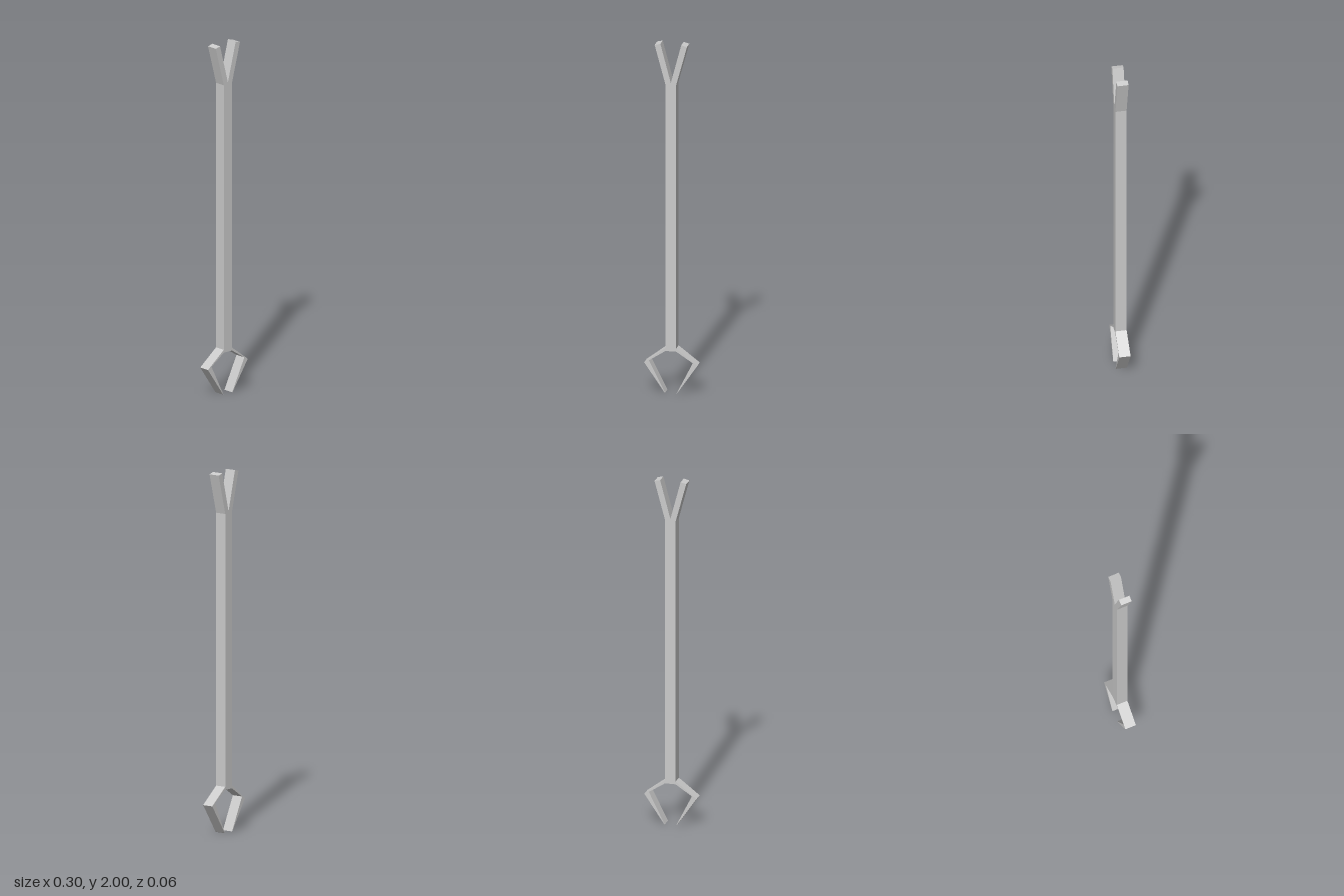
import * as THREE from 'three';

const DEPTH = 0.062;
const material = new THREE.MeshStandardMaterial({ color: 0xcccccc, flatShading: true });

// Flat bar cut from an outline in x/y, centred on z = 0
function bar(name, outline) {
  const shape = new THREE.Shape(outline.map(([x, y]) => new THREE.Vector2(x, y)));
  const geometry = new THREE.ExtrudeGeometry(shape, { depth: DEPTH, bevelEnabled: false });
  geometry.translate(0, 0, -DEPTH / 2);
  const mesh = new THREE.Mesh(geometry, material);
  mesh.name = name;
  return mesh;
}

export function createModel() {
  const model = new THREE.Group();
  model.name = 'grabberStaff';

  // Long square shaft, notched at the top where the fork begins
  model.add(bar('shaft', [
    [-0.03, 0.255], [-0.03, 0.24], [0.03, 0.24], [0.03, 0.255],
    [0.03, 1.77], [0, 1.78], [-0.03, 1.77],
  ]));

  for (const [side, s] of [['left', 1], ['right', -1]]) {
    const mirror = (points) => points.map(([x, y]) => [s * x, y]);

    // Fork prong with a square-cut end
    model.add(bar(side + 'Prong', mirror([
      [0.03, 1.77], [0.09, 1.992], [0.058, 2], [0, 1.78],
    ])));

    // Upper claw arm, from the shaft out to the elbow
    model.add(bar(side + 'ClawArm', mirror([
      [0.03, 0.24], [0.122, 0.18], [0.148, 0.167], [0.03, 0.257],
    ])));

    // Lower claw, tapering to an edge at the tip
    model.add(bar(side + 'ClawTip', mirror([
      [0.122, 0.18], [0.032, 0], [0.036, 0.003], [0.148, 0.167],
    ])));
  }
  return model;
}
